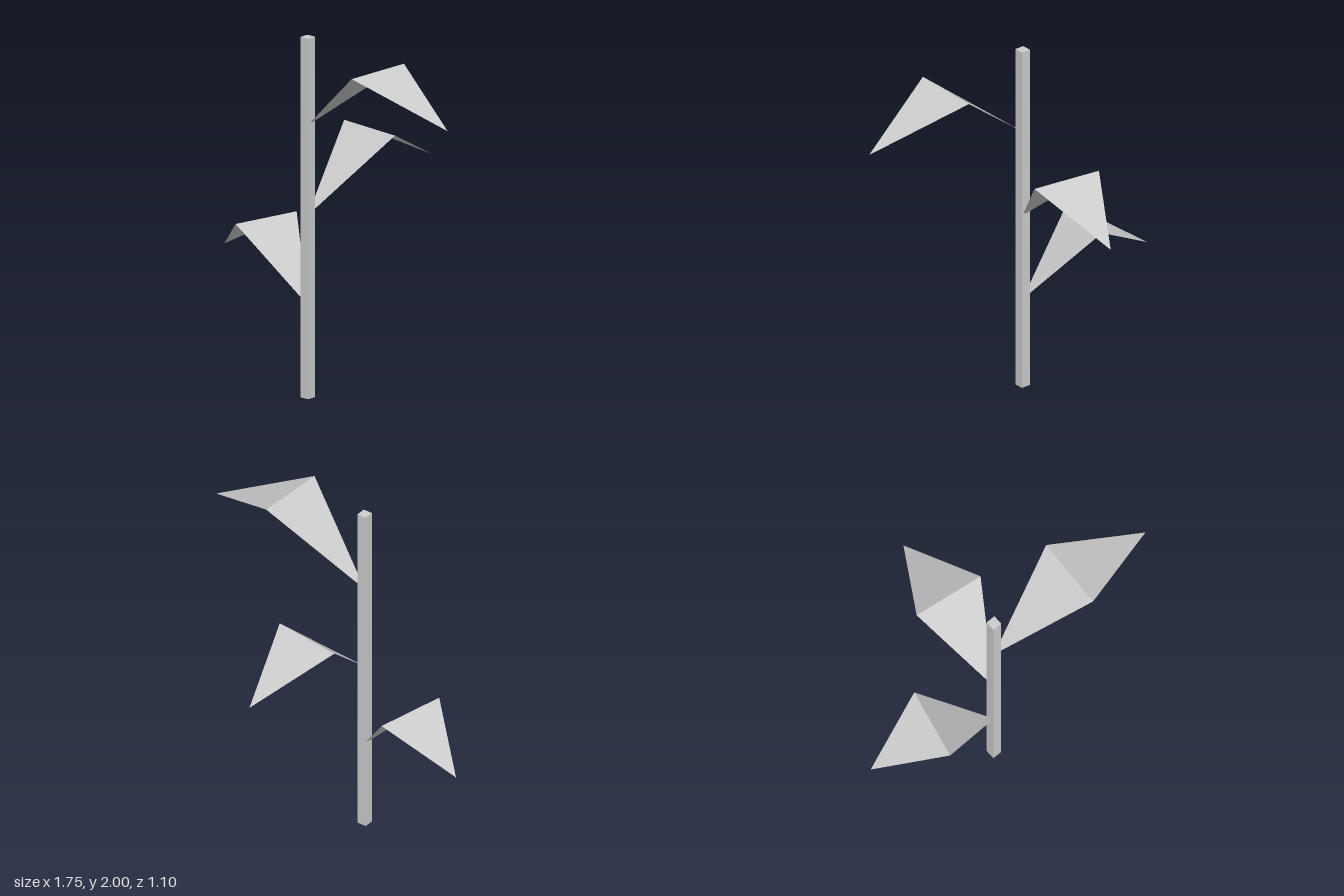
import * as THREE from 'three';

const STEM_X = -0.148, STEM_Z = 0.325;

export function createModel() {
  const model = new THREE.Group();
  model.name = 'plant';
  const stemGrey = new THREE.MeshStandardMaterial({ color: 0xcccccc });
  stemGrey.name = 'light grey';
  const leafGrey = stemGrey.clone();
  leafGrey.name = 'light grey leaf';
  leafGrey.side = THREE.DoubleSide;

  // square stem
  const stem = new THREE.Mesh(new THREE.BoxGeometry(0.055, 2, 0.055), stemGrey);
  stem.name = 'stem';
  stem.position.set(STEM_X, 1, STEM_Z);
  model.add(stem);

  // kite-shaped leaf folded across its widest line, growing along +x
  function addLeaf(name, y, length, angle) {
    const base = [0, 0, 0], tip = [length, 0.17, 0];
    const near = [length / 2, 0.4, 0.203], far = [length / 2, 0.4, -0.203];
    const geometry = new THREE.BufferGeometry();
    geometry.setAttribute('position', new THREE.Float32BufferAttribute(
      [base, near, far, near, tip, far].flat(), 3));
    geometry.computeVertexNormals();
    const leaf = new THREE.Mesh(geometry, leafGrey);
    leaf.name = name;
    leaf.position.set(STEM_X, y, STEM_Z);
    leaf.rotation.y = angle;
    model.add(leaf);
  }
  addLeaf('upperLeaf', 1.51, 1.024, Math.atan2(-0.045, 1.023));
  addLeaf('middleLeaf', 1.01, 0.882, Math.atan2(0.875, 0.113));
  addLeaf('lowerLeaf', 0.51, 0.744, Math.atan2(0.16, -0.727));

  return model;
}
